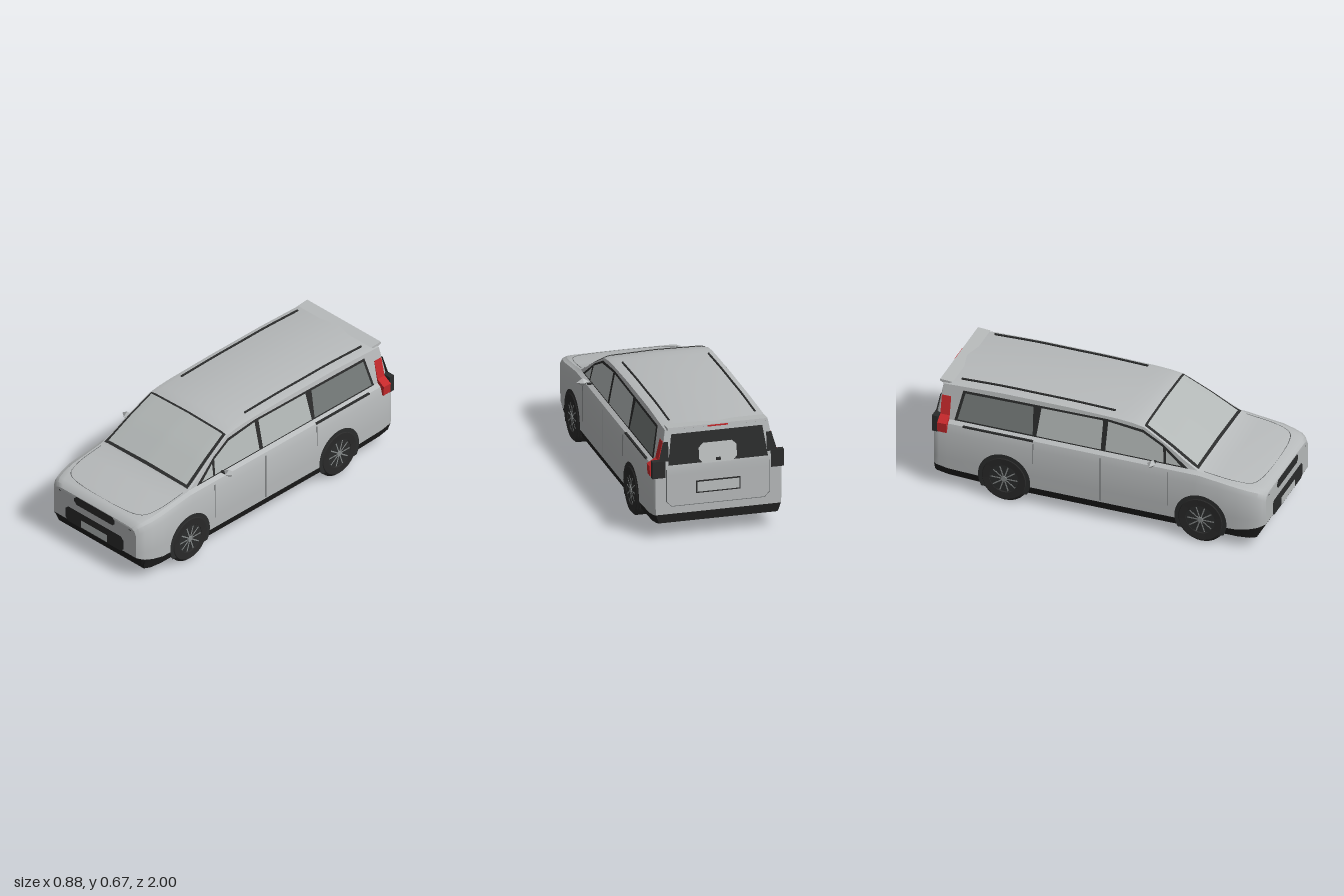
import * as THREE from 'three';
import { toCreasedNormals } from 'three/addons/utils/BufferGeometryUtils.js';

const mat = (name, color, side = THREE.DoubleSide) => {
  const m = new THREE.MeshStandardMaterial({ color, side });
  m.name = name;
  return m;
};

// Piecewise linear lookup in a table of [key, value] with falling keys
function look(table, k) {
  if (k >= table[0][0]) return table[0][1];
  for (let i = 1; i < table.length; i++) {
    const [k0, v0] = table[i - 1], [k1, v1] = table[i];
    if (k >= k1) return v0 + (v1 - v0) * (k0 - k) / (k0 - k1);
  }
  return table[table.length - 1][1];
}

// Body profiles along z
const TOP = [[0.99, 0.355], [0.975, 0.372], [0.95, 0.384], [0.83, 0.406], [0.6, 0.435], [0.585, 0.445],
  [0.42, 0.548], [0.255, 0.638], [0.18, 0.65], [0.1, 0.656], [-0.2, 0.663], [-0.6, 0.663], [-0.985, 0.65]];
const WIDTH = [[0.99, 0.325], [0.975, 0.34], [0.95, 0.355], [0.9, 0.368], [0.83, 0.378],
  [-0.9, 0.378], [-0.97, 0.373], [-0.985, 0.363]];
const BOTTOM = [[0.99, 0.08], [0.9, 0.07], [-0.8, 0.07], [-0.985, 0.095]];
const SILL = [[0.99, 0.165], [0.93, 0.14], [0.8, 0.12], [-0.8, 0.12], [-0.985, 0.145]];
const STATIONS = [0.99, 0.975, 0.95, 0.9, 0.83, 0.72, 0.6, 0.585, 0.5, 0.42, 0.34, 0.255, 0.18, 0.1,
  -0.2, -0.6, -0.9, -0.95, -0.97, -0.985];

const sideX = (y) => 0.34 - (y - 0.435) * 0.2;
const rearZ = (y) => -0.985 + Math.max(0, y - 0.42) * 0.16;
const noseZ = (y) => 0.99 - Math.max(0, 0.16 - y) * 0.6;

// Half cross-section from the bottom centre round to the roof centre
function halfRing(z) {
  const t = look(TOP, z), w = look(WIDTH, z), b = look(BOTTOM, z);
  const x6 = Math.min(0.34, w - 0.035), y6 = Math.min(0.435, t - 0.006);
  const y7 = Math.max(y6 + 0.001, t - 0.015), x7 = Math.min(sideX(y7), x6 - 0.001);
  return [[0, b], [w - 0.02, b], [w - 0.002, look(SILL, z)], [w, 0.2], [w, Math.min(0.37, t - 0.045)],
    [w - 0.014, Math.min(0.42, t - 0.015)], [x6, y6], [x7, y7], [x7 - 0.035, y7 + (t - y7) * 0.55], [0, t]];
}
const surfaceY = (x, z) => look(halfRing(z).slice(7), Math.abs(x));

function loftBody(lower) {
  const rings = STATIONS.map((z) => {
    const h = halfRing(z), all = [...h, ...h.slice(1, -1).reverse().map(([x, y]) => [-x, y])];
    return all.map(([x, y]) => [x, y, Math.min(Math.max(z, rearZ(y)), noseZ(y))]);
  });
  const n = rings[0].length, pos = [];
  const quad = (a, b, c, d) => pos.push(...a, ...b, ...c, ...a, ...c, ...d);
  for (let i = 0; i < n; i++) {
    if ((Math.min(i, n - 1 - i) < 2) !== lower) continue;
    const j = (i + 1) % n;
    for (let s = 0; s < rings.length - 1; s++) {
      quad(rings[s][i], rings[s + 1][i], rings[s + 1][j], rings[s][j]);
    }
  }
  // Nose and tail faces
  const f = rings[0], r = rings[rings.length - 1];
  for (let i = 0; i < n / 2; i++) {
    if ((i < 2) !== lower) continue;
    const l0 = (n - i) % n, l1 = n - i - 1;
    quad(f[l0], f[i], f[i + 1], f[l1]);
    quad(r[i], r[l0], r[l1], r[i + 1]);
  }
  const g = new THREE.BufferGeometry();
  g.setAttribute('position', new THREE.Float32BufferAttribute(pos, 3));
  return toCreasedNormals(g, 0.6);
}

// Thin face: a flat outline placed in space by a rule
function plate(points, place) {
  const g = new THREE.ShapeGeometry(new THREE.Shape(points.map(([u, v]) => new THREE.Vector2(u, v))));
  const p = g.attributes.position;
  for (let i = 0; i < p.count; i++) p.setXYZ(i, ...place(p.getX(i), p.getY(i)));
  g.computeVertexNormals();
  return g;
}
const rect = (x, y0, y1, c = 0) => [[-x, y0 + c], [-x + c, y0], [x - c, y0], [x, y0 + c],
  [x, y1 - c], [x - c, y1], [-x + c, y1], [-x, y1 - c]];

// Curved pane following the windscreen slope
function screenPane(z0, z1, x0, x1, lift) {
  const g = new THREE.PlaneGeometry(2, 1, 18, 8), p = g.attributes.position;
  for (let i = 0; i < p.count; i++) {
    const v = p.getY(i) + 0.5, x = p.getX(i) * (x0 + (x1 - x0) * v), z = z0 + (z1 - z0) * v;
    p.setXYZ(i, x, surfaceY(x, z) + lift, z + lift * 0.5);
  }
  g.computeVertexNormals();
  return g;
}

export function createModel() {
  const root = new THREE.Group();
  root.name = 'van';
  const paint = mat('body paint', 0xb7babb, THREE.FrontSide), lowerMat = mat('lower trim', 0x1f1f1f);
  const black = mat('black trim', 0x2b2c2c), tyreMat = mat('tyre rubber', 0x292929);
  const glass = mat('clear glass', 0xb3b8b7), tinted = mat('tinted glass', 0x757a79);
  const red = mat('tail light red', 0xc4282b), rimMat = mat('rim metal', 0x858989);
  const pale = mat('number plate', 0xbcc0c0), seam = mat('panel seam', 0x6a6d6e);
  const add = (name, g, m, parent = root) => {
    const mesh = new THREE.Mesh(g, m);
    mesh.name = name;
    parent.add(mesh);
    return mesh;
  };
  const box = (name, m, w, h, d, x, y, z) => add(name, new THREE.BoxGeometry(w, h, d).translate(x, y, z), m);

  add('body', loftBody(false), paint);
  add('lowerBody', loftBody(true), lowerMat);

  // Windscreen
  add('windscreenFrame', screenPane(0.588, 0.25, 0.328, 0.293, 0.003), black);
  add('windscreen', screenPane(0.572, 0.262, 0.308, 0.28, 0.006), glass);

  // Front face
  const front = (off) => (x, y) => [x, y, noseZ(y) + off];
  add('upperGrille', plate(rect(0.16, 0.3, 0.354, 0.018), front(0.004)), black);
  add('lowerGrille', plate(rect(0.228, 0.16, 0.258, 0.02), front(0.004)), black);
  add('frontPlate', plate(rect(0.102, 0.168, 0.216), front(0.008)), pale);

  // Tailgate
  const rear = (off) => (x, y) => [x, y, rearZ(y) - off];
  add('rearWindow', plate([[-0.29, 0.435], [0.29, 0.435], [0.265, 0.61], [-0.265, 0.61]], rear(0.003)), black);
  add('rearWindowPanel', plate(rect(0.11, 0.43, 0.545, 0.025), rear(0.006)), pale);
  add('rearPlateFrame', plate(rect(0.13, 0.255, 0.33), rear(0.003)), black);
  add('rearPlate', plate(rect(0.122, 0.263, 0.322), rear(0.006)), pale);
  box('tailgateHandle', black, 0.025, 0.014, 0.02, 0, 0.45, -0.988);
  box('brakeLight', red, 0.12, 0.008, 0.006, 0, 0.646, -0.977);
  const lip = new THREE.Shape([[0.9, 0.65], [0.975, 0.655], [0.977, 0.643], [0.94, 0.628]]
    .map(([x, y]) => new THREE.Vector2(x, y)));
  add('roofSpoiler', new THREE.ExtrudeGeometry(lip, { depth: 0.58, bevelEnabled: false })
    .rotateY(Math.PI / 2).scale(1, 1, 1).translate(-0.29, 0, 0), paint);
  const gate = [[-0.3, 0.41], [-0.3, 0.22], [-0.27, 0.19], [0.27, 0.19], [0.3, 0.22], [0.3, 0.41]];
  for (let i = 1; i < gate.length; i++) {
    const [a, b] = [gate[i - 1], gate[i]], dx = b[0] - a[0], dy = b[1] - a[1];
    const m = add('tailgateSeam', new THREE.BoxGeometry(Math.hypot(dx, dy), 0.003, 0.003), seam);
    m.position.set((a[0] + b[0]) / 2, (a[1] + b[1]) / 2, -0.985);
    m.rotation.z = Math.atan2(dy, dx);
  }

  // Bonnet seam
  const hood = [[-0.325, 0.62], [-0.32, 0.8], [-0.29, 0.89], [-0.22, 0.92], [0.22, 0.92], [0.29, 0.89], [0.32, 0.8], [0.325, 0.62]]
    .map(([x, z]) => new THREE.Vector3(x, surfaceY(x, z), z));
  add('bonnetSeam', new THREE.TubeGeometry(new THREE.CatmullRomCurve3(hood, false, 'centripetal'), 60, 0.002, 4), seam);

  // Outlines in (z, y) on the slanted cabin side
  const frame = [[0.53, 0.437], [0.375, 0.548], [0.25, 0.609], [0.04, 0.628], [-0.83, 0.62], [-0.87, 0.437]];
  const panes = [
    ['quarterGlass', glass, [[0.49, 0.445], [0.4, 0.445], [0.395, 0.518]]],
    ['frontDoorGlass', glass, [[0.385, 0.445], [0.375, 0.535], [0.25, 0.595], [0.04, 0.617], [0.035, 0.445]]],
    ['slidingDoorGlass', glass, [[0.008, 0.445], [0.01, 0.617], [-0.36, 0.614], [-0.378, 0.445]]],
    ['rearSideGlass', tinted, [[-0.4, 0.447], [-0.408, 0.612], [-0.815, 0.607], [-0.85, 0.447]]]];
  const lampProfile = [[0.28, 0.57], [0.315, 0.57], [0.34, 0.46], [0.39, 0.43], [0.386, 0.37], [0.33, 0.37]];

  for (const s of [1, -1]) {
    const side = s > 0 ? 'left' : 'right';
    const onCabin = (off) => (z, y) => [s * (sideX(y) + off), y, z];
    add(side + 'WindowFrame', plate(frame, onCabin(0.003)), black);
    for (const [name, m, pts] of panes) add(side + name, plate(pts, onCabin(0.006)), m);

    // Door seams and sliding door rail
    for (const [z, y0, y1] of [[0.42, 0.19, 0.41], [0.018, 0.13, 0.41], [-0.385, 0.28, 0.41]]) {
      box(side + 'DoorSeam', seam, 0.003, y1 - y0, 0.004, s * 0.378, (y0 + y1) / 2, z);
    }
    box(side + 'DoorRail', black, 0.012, 0.009, 0.42, s * 0.364, 0.42, -0.6);

    // Roof rail follows the roof curve
    const rail = [0.06, -0.2, -0.4, -0.6, -0.86].map((z) => new THREE.Vector3(s * 0.25, surfaceY(0.25, z) + 0.011, z));
    add(side + 'RoofRail', new THREE.TubeGeometry(new THREE.CatmullRomCurve3(rail), 24, 0.006, 6), black);

    // Mirror
    const mirror = add(side + 'Mirror', new THREE.OctahedronGeometry(1), paint);
    mirror.scale.set(0.037, 0.024, 0.026);
    mirror.position.set(s * 0.402, 0.459, 0.335);
    box(side + 'MirrorStalk', black, 0.04, 0.008, 0.014, s * 0.355, 0.445, 0.335);

    // Slim headlight
    add(side + 'Headlight', plate([[0.27, 0.332], [0.332, 0.327], [0.332, 0.334], [0.27, 0.337]],
      (x, y) => [s * x, y, 0.994 - Math.max(0, x - 0.3) * 0.5]), black);

    // Tail light and its housing
    const lamp = new THREE.Shape(lampProfile.map(([x, y]) => new THREE.Vector2(s * x, y)));
    add(side + 'TailLight', new THREE.ExtrudeGeometry(lamp, { depth: 0.055, bevelEnabled: false })
      .translate(0, 0, -0.955), red);
    box(side + 'TailLightHousing', black, 0.075, 0.1, 0.034, s * 0.345, 0.415, -0.972);
    add(side + 'TailLightStrip', plate([[0.285, 0.46], [0.345, 0.46], [0.315, 0.57], [0.285, 0.57]],
      (x, y) => [s * x, y, rearZ(y) - 0.004]), black);

    // Wheels and arches
    for (const [end, z] of [['Front', 0.62], ['Rear', -0.557]]) {
      const arch = Array.from({ length: 41 }, (_, i) => {
        const a = -0.5 + (Math.PI + 1) * i / 40;
        return [z + 0.156 * Math.cos(a), 0.145 + 0.156 * Math.sin(a)];
      });
      add(side + end + 'Arch', plate(arch, (u, v) => [s * 0.381, v, u]), black);

      const wheel = new THREE.Group();
      wheel.name = side + end + 'Wheel';
      const tyre = [[0.085, -0.045], [0.128, -0.047], [0.145, -0.03], [0.145, 0.03], [0.128, 0.047], [0.088, 0.045], [0.084, 0.036]]
        .map(([r, y]) => new THREE.Vector2(r, y));
      add('tyre', toCreasedNormals(new THREE.LatheGeometry(tyre, 36), 0.5), tyreMat, wheel);
      add('rimDish', new THREE.CylinderGeometry(0.087, 0.087, 0.076, 32), black, wheel);
      add('hub', new THREE.CylinderGeometry(0.016, 0.018, 0.012, 16).translate(0, 0.042, 0), rimMat, wheel);
      for (let i = 0; i < 10; i++) {
        add('spoke', new THREE.BoxGeometry(0.007, 0.006, 0.07).translate(0, 0.041, 0.046)
          .rotateY(i * Math.PI / 5), rimMat, wheel);
      }
      wheel.position.set(s * 0.338, 0.145, z);
      wheel.rotation.z = -s * Math.PI / 2;
      root.add(wheel);
    }
  }
  return root;
}
